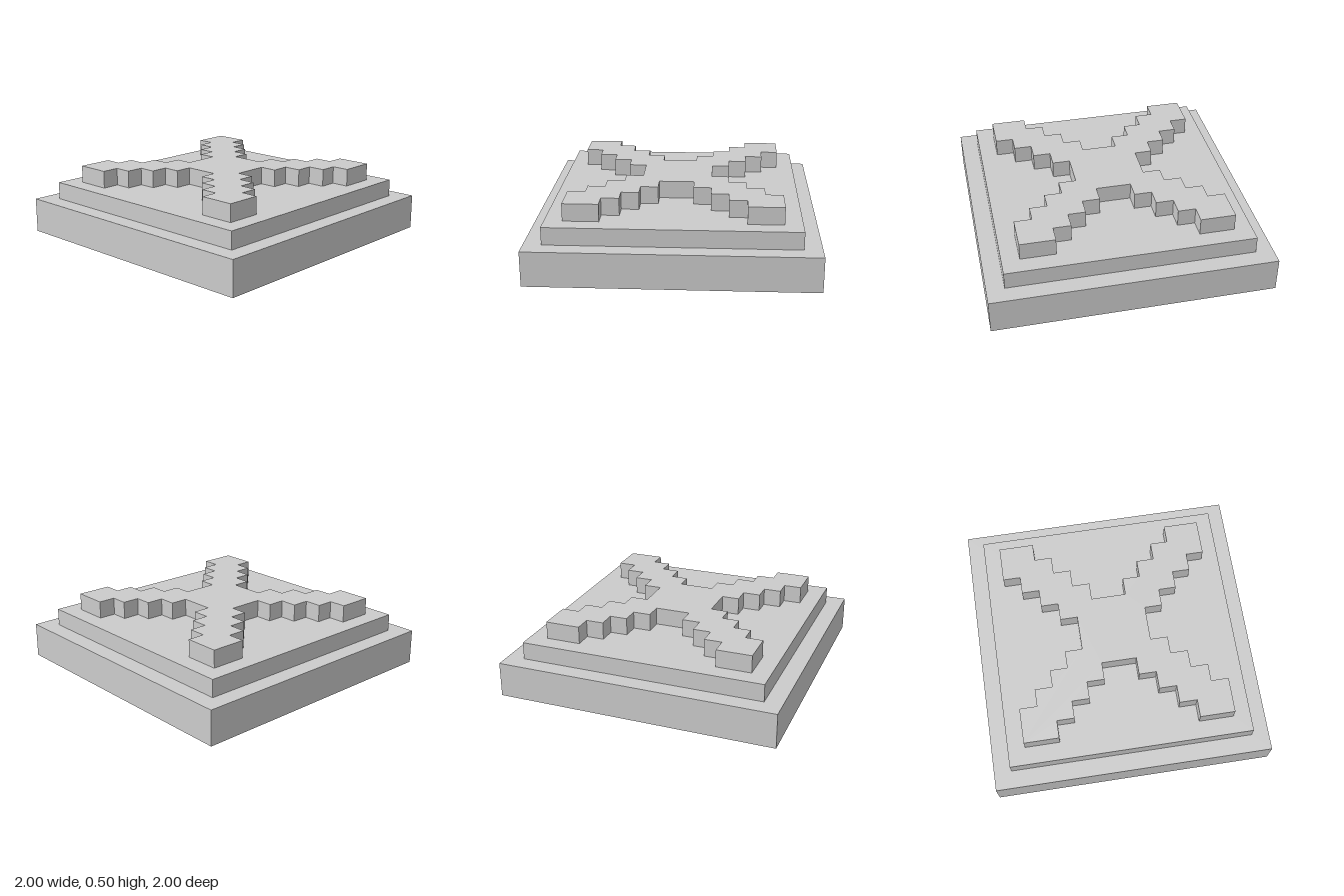
import * as THREE from 'three';

const U = 0.125; // grid step shared by all parts

export function createModel() {
  const group = new THREE.Group();
  const material = new THREE.MeshStandardMaterial({ color: 0xcccccc, flatShading: true });

  const add = (name, geometry, y) => {
    const mesh = new THREE.Mesh(geometry, material);
    mesh.name = name;
    mesh.position.y = y;
    group.add(mesh);
  };

  // Square base and the smaller slab on top of it
  add('base', new THREE.BoxGeometry(16 * U, 2 * U, 16 * U), U);
  add('upperSlab', new THREE.BoxGeometry(14 * U, U, 14 * U), 2.5 * U);

  // One arm of the stepped cross: stairs out, square tip, stairs back
  const arm = [];
  for (let i = 2; i < 6; i++) arm.push([i, i - 1], [i + 1, i - 1]);
  arm.pop();
  arm.push([6, 4], [6, 6], [4, 6]);
  for (let i = 5; i > 2; i--) arm.push([i - 1, i], [i - 2, i]);
  arm.push([1, 2]);

  // Turn the arm a quarter at a time to close the outline
  const outline = [];
  for (let q = 0; q < 4; q++) {
    for (const [x, y] of arm) {
      const p = [[x, y], [-y, x], [-x, -y], [y, -x]][q];
      outline.push(new THREE.Vector2(p[0] * U, p[1] * U));
    }
  }
  const cross = new THREE.ExtrudeGeometry(new THREE.Shape(outline), { depth: U, bevelEnabled: false });
  cross.rotateX(-Math.PI / 2);
  add('steppedCross', cross, 3 * U);

  return group;
}
